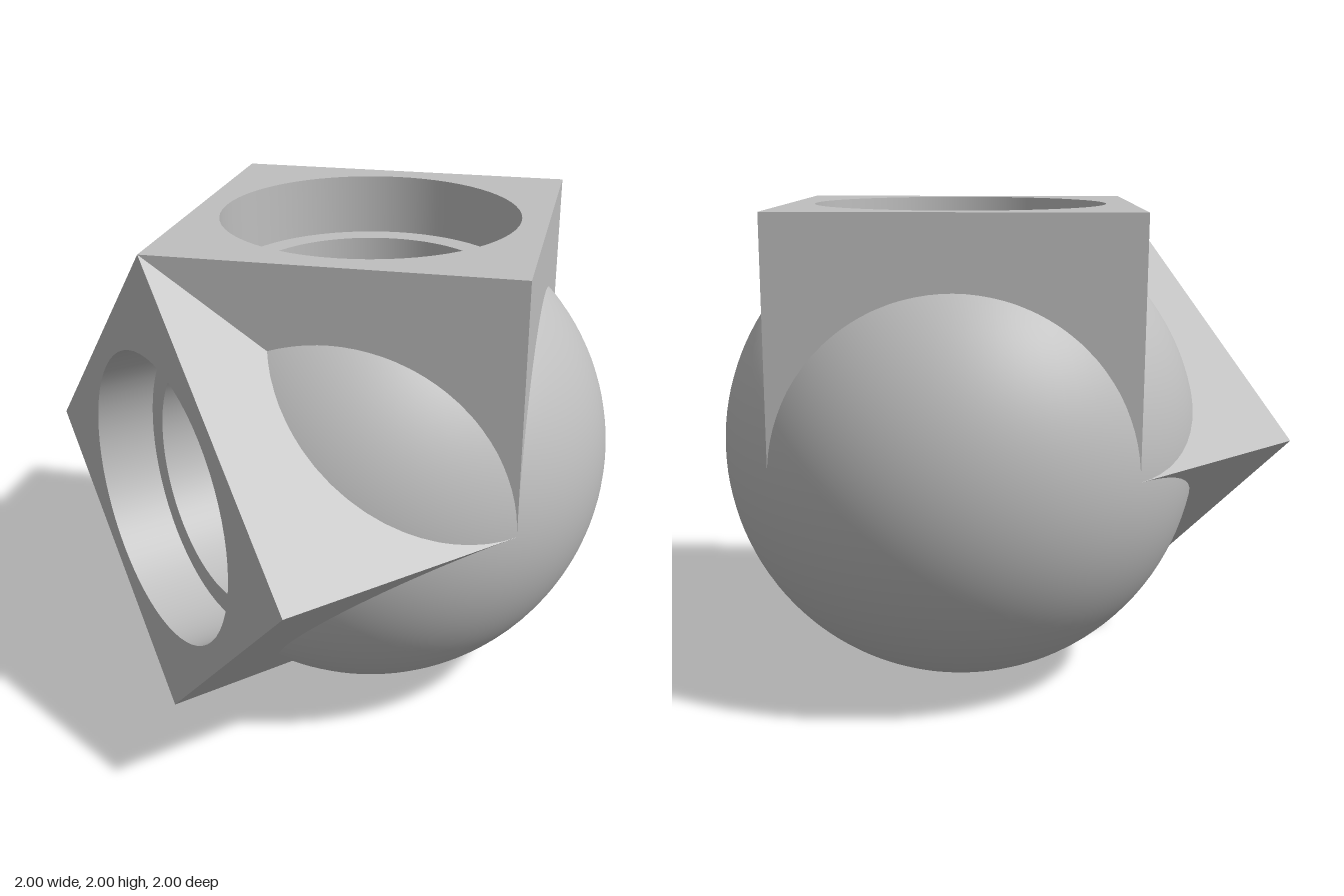
import * as THREE from 'three';

const BORE = 0.5, COUNTERBORE = 0.6, LEDGE = 0.75;

export function createModel() {
  const metal = new THREE.MeshStandardMaterial({ color: 0xbfbfbf, side: THREE.DoubleSide });
  metal.name = 'plain grey';

  const add = (parent, name, geometry) => {
    const mesh = new THREE.Mesh(geometry, metal);
    mesh.name = name;
    parent.add(mesh);
  };

  // Open tube whose lower rim is mitred where the two arms meet
  const mitredTube = (radius, top, sides) => {
    const g = new THREE.CylinderGeometry(radius, radius, top, sides, 1, true);
    const p = g.attributes.position;
    for (let i = 0; i < p.count; i++) {
      p.setY(i, p.getY(i) > 0 ? top : Math.max(0, -p.getX(i)));
    }
    return g;
  };

  // Square arm along +y with a stepped bore
  const makeArm = (name) => {
    const arm = new THREE.Group();
    arm.name = name;

    const sides = mitredTube(1, 1, 4).toNonIndexed();
    sides.computeVertexNormals();
    add(arm, 'armSides', sides);

    const square = new THREE.Shape([[1, 0], [0, 1], [-1, 0], [0, -1]].map(([x, y]) => new THREE.Vector2(x, y)));
    square.holes.push(new THREE.Path().absarc(0, 0, COUNTERBORE, 0, Math.PI * 2, true));
    add(arm, 'armEnd', new THREE.ShapeGeometry(square, 32).rotateX(-Math.PI / 2).translate(0, 1, 0));

    const depth = 1 - LEDGE;
    add(arm, 'counterboreWall', new THREE.CylinderGeometry(COUNTERBORE, COUNTERBORE, depth, 64, 1, true)
      .translate(0, LEDGE + depth / 2, 0));
    add(arm, 'ledge', new THREE.RingGeometry(BORE, COUNTERBORE, 64).rotateX(-Math.PI / 2).translate(0, LEDGE, 0));
    add(arm, 'boreWall', mitredTube(BORE, LEDGE, 64));
    add(arm, 'boreFloor', new THREE.CircleGeometry(BORE, 32, -Math.PI / 2, Math.PI).rotateX(-Math.PI / 2));
    return arm;
  };

  // Ball with its surface left open inside both arms
  const makeBall = () => {
    const g = new THREE.SphereGeometry(1, 96, 64);
    const p = g.attributes.position, index = g.index.array, kept = [];
    const c = new THREE.Vector3(), v = new THREE.Vector3();
    for (let i = 0; i < index.length; i += 3) {
      c.set(0, 0, 0);
      for (let k = 0; k < 3; k++) c.add(v.fromBufferAttribute(p, index[i + k]));
      c.divideScalar(3);
      const inTop = c.y > 0 && Math.hypot(c.x, c.z) < 0.65;
      const inSide = c.x < 0 && Math.hypot(c.y, c.z) < 0.65;
      if (!inTop && !inSide) kept.push(index[i], index[i + 1], index[i + 2]);
    }
    g.setIndex(kept);
    return g;
  };

  const model = new THREE.Group();
  model.name = 'elbowFitting';
  const body = new THREE.Group();
  body.name = 'body';
  body.position.y = 1;
  model.add(body);

  add(body, 'ball', makeBall());
  body.add(makeArm('upperArm'));

  // Half turn about the mitre diagonal carries +y to -x
  const sideArm = makeArm('sideArm');
  sideArm.quaternion.setFromAxisAngle(new THREE.Vector3(1, -1, 0).normalize(), Math.PI);
  body.add(sideArm);

  return model;
}
